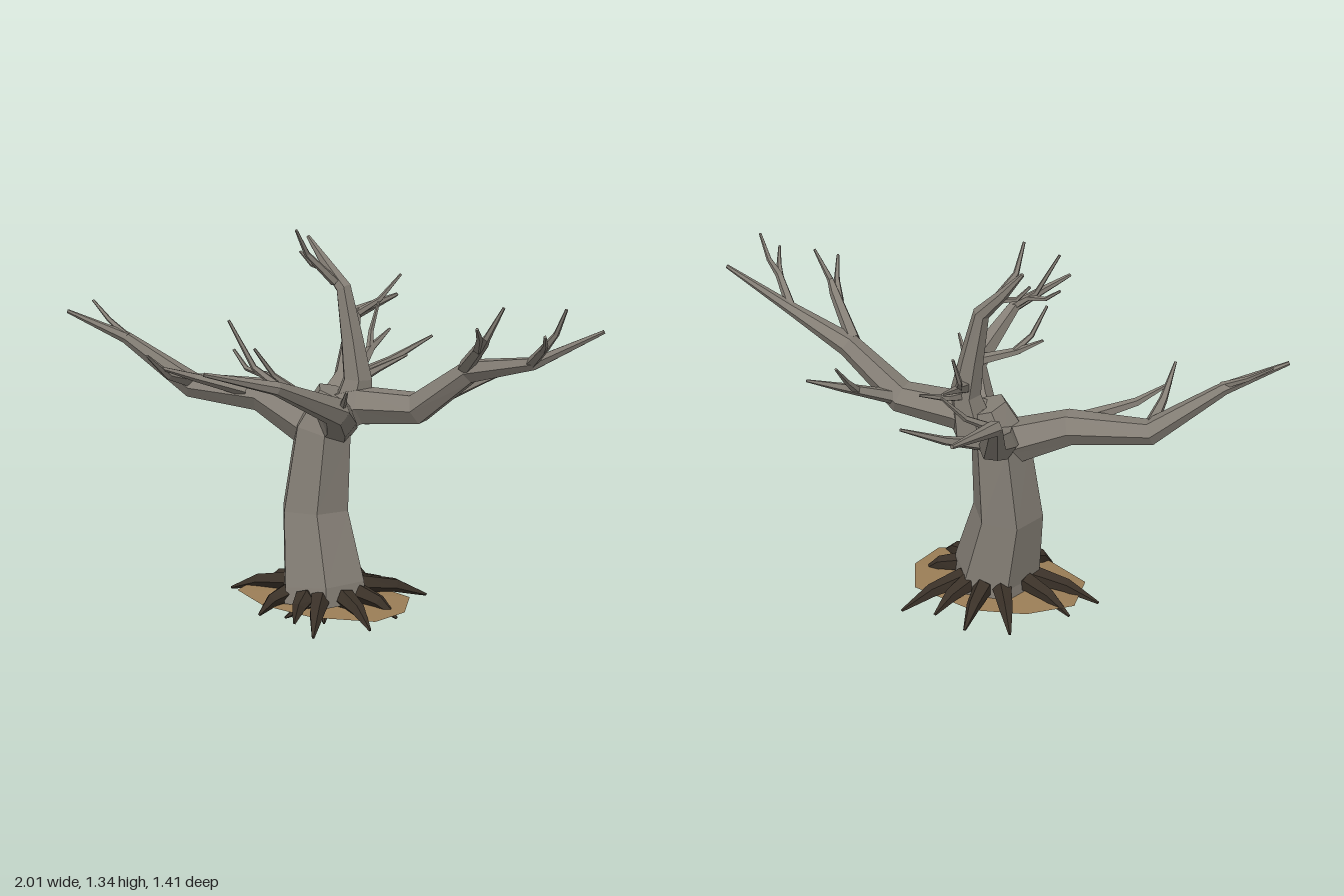
import * as THREE from 'three';
import { ConvexGeometry } from 'three/addons/geometries/ConvexGeometry.js';

// Faceted tapering tube through points [x, y, z, radius], closed at both ends
function limbGeometry(points, sides) {
  const centres = points.map(([x, y, z]) => new THREE.Vector3(x, y, z));
  const last = centres.length - 1;
  const pos = [], index = [];
  let normal, oldTangent;
  centres.forEach((c, i) => {
    const t = new THREE.Vector3();
    if (i > 0) t.add(c.clone().sub(centres[i - 1]).normalize());
    if (i < last) t.add(centres[i + 1].clone().sub(c).normalize());
    t.normalize();
    if (!normal) {
      normal = Math.abs(t.x) > 0.8 ? new THREE.Vector3(0, 0, 1) : new THREE.Vector3(1, 0, 0);
    } else {
      normal.applyQuaternion(new THREE.Quaternion().setFromUnitVectors(oldTangent, t));
    }
    normal.addScaledVector(t, -normal.dot(t)).normalize();
    oldTangent = t;
    const side = t.clone().cross(normal);
    for (let s = 0; s < sides; s++) {
      const a = (s / sides) * Math.PI * 2;
      const p = c.clone()
        .addScaledVector(normal, Math.cos(a) * points[i][3])
        .addScaledVector(side, Math.sin(a) * points[i][3]);
      pos.push(p.x, p.y, p.z);
    }
  });
  for (let i = 0; i < last; i++) {
    for (let s = 0; s < sides; s++) {
      const a = i * sides + s, b = i * sides + ((s + 1) % sides);
      index.push(a, b, b + sides, a, b + sides, a + sides);
    }
  }
  for (let s = 1; s < sides - 1; s++) {
    index.push(0, s + 1, s);
    index.push(last * sides, last * sides + s, last * sides + s + 1);
  }
  const g = new THREE.BufferGeometry();
  g.setAttribute('position', new THREE.Float32BufferAttribute(pos, 3));
  g.setIndex(index);
  const flat = g.toNonIndexed();
  flat.computeVertexNormals();
  return flat;
}

export function createModel() {
  const bark = new THREE.MeshStandardMaterial({ color: 0x857f76 });
  bark.name = 'grey bark';
  const rootBark = new THREE.MeshStandardMaterial({ color: 0x3a3128 });
  rootBark.name = 'dark root';
  const earth = new THREE.MeshStandardMaterial({ color: 0x9a7d56 });
  earth.name = 'earth';

  const tree = new THREE.Group();
  tree.name = 'bareTree';

  function add(parent, name, geometry, material) {
    const mesh = new THREE.Mesh(geometry, material);
    mesh.name = name;
    parent.add(mesh);
  }

  // A main limb with its twigs; twigs taper by themselves from a starting radius
  function branch(name, limb, twigs) {
    const group = new THREE.Group();
    group.name = name;
    add(group, name + 'Limb', limbGeometry(limb, 6), bark);
    twigs.forEach(([r, ...pts], n) => {
      const tapered = pts.map((p, i) => [...p, THREE.MathUtils.lerp(r, 0.005, i / (pts.length - 1))]);
      add(group, name + 'Twig' + (n + 1), limbGeometry(tapered, 5), bark);
    });
    tree.add(group);
  }

  // Trunk
  add(tree, 'trunk', limbGeometry([
    [-0.025, 0.04, 0.045, 0.165],
    [-0.028, 0.1, 0.042, 0.158],
    [-0.075, 0.35, 0.015, 0.128],
    [-0.05, 0.64, 0.0, 0.108],
    [-0.005, 0.77, -0.01, 0.07],
  ], 6), bark);

  branch('rightBranch', [
    [-0.03, 0.61, 0, 0.085], [-0.3, 0.73, -0.01, 0.062], [-0.57, 0.74, 0.015, 0.046],
    [-0.8, 0.905, 0.085, 0.022], [-1, 0.995, 0.155, 0.007],
  ], [
    [0.014, [-0.79, 0.91, 0.09], [-0.88, 0.96, 0.07], [-0.96, 1.02, 0.05]],
    [0.026, [-0.34, 0.75, 0.03], [-0.5, 0.795, 0.11], [-0.6, 0.84, 0.2]],
    [0.026, [-0.57, 0.76, 0.03], [-0.585, 0.8, 0.15], [-0.6, 0.89, 0.26]],
  ]);

  branch('leftBranch', [
    [-0.02, 0.69, -0.01, 0.08], [0.1, 0.735, -0.01, 0.068], [0.31, 0.75, 0.0, 0.058],
    [0.51, 0.905, 0.03, 0.042], [0.77, 0.975, 0.125, 0.022], [1, 1.1, 0.13, 0.007],
  ], [
    [0.026, [0.5, 0.92, 0.05], [0.61, 1.03, 0.17], [0.64, 1.06, 0.21], [0.7, 1.165, 0.22]],
    [0.017, [0.59, 1.01, 0.16], [0.62, 1.06, 0.22], [0.65, 1.11, 0.315]],
    [0.019, [0.76, 0.975, 0.125], [0.84, 1.05, 0.22], [0.88, 1.1, 0.23], [0.92, 1.185, 0.255]],
    [0.013, [0.83, 1.04, 0.21], [0.86, 1.07, 0.27], [0.88, 1.11, 0.33]],
    [0.028, [0.32, 0.755, -0.02], [0.47, 0.83, -0.14], [0.575, 0.875, -0.21]],
    [0.016, [0.43, 0.81, -0.11], [0.445, 0.87, -0.17], [0.45, 0.955, -0.25]],
  ]);

  branch('frontBranch', [
    [-0.02, 0.65, -0.03, 0.08], [0.06, 0.7, 0.1, 0.062], [0.13, 0.775, 0.26, 0.05],
    [0.05, 0.9, 0.52, 0.024], [-0.11, 0.965, 0.7, 0.007],
  ], [
    [0.016, [0.05, 0.905, 0.51], [-0.03, 0.96, 0.52], [-0.11, 1.11, 0.54]],
    [0.012, [0.0, 0.94, 0.515], [-0.07, 0.95, 0.5], [-0.13, 1.0, 0.475]],
    [0.023, [0.12, 0.79, 0.26], [-0.03, 0.84, 0.28], [-0.12, 0.89, 0.29]],
    [0.014, [-0.02, 0.84, 0.28], [-0.07, 0.89, 0.32], [-0.11, 0.985, 0.375]],
    [0.018, [0.13, 0.77, 0.22], [0.16, 0.8, 0.27], [0.2, 0.86, 0.32]],
  ]);

  branch('backBranch', [
    [-0.05, 0.64, 0, 0.075], [-0.09, 0.69, -0.13, 0.054], [-0.1, 0.755, -0.27, 0.046],
    [-0.17, 0.95, -0.48, 0.027], [-0.1, 0.99, -0.7, 0.007],
  ], [
    [0.026, [-0.09, 0.75, -0.24], [0.03, 0.815, -0.37], [0.145, 0.895, -0.48]],
    [0.016, [-0.165, 0.945, -0.47], [-0.09, 1.0, -0.53], [-0.03, 1.09, -0.585]],
  ]);

  branch('topBranch', [
    [0.04, 0.68, -0.02, 0.08], [0.065, 0.82, -0.035, 0.055], [0.04, 0.96, -0.04, 0.042],
    [0.005, 1.13, -0.045, 0.029], [-0.07, 1.21, -0.055, 0.02], [-0.14, 1.295, -0.06, 0.007],
  ], [
    [0.017, [-0.02, 1.15, -0.03], [-0.09, 1.25, 0.04], [-0.1, 1.34, 0.1]],
    [0.012, [-0.07, 1.19, -0.05], [-0.12, 1.2, -0.05], [-0.16, 1.245, -0.04]],
    [0.026, [0.06, 0.85, -0.05], [0.05, 0.9, -0.17], [0.06, 0.945, -0.3]],
    [0.014, [0.05, 0.9, -0.16], [0.03, 0.95, -0.21], [0.04, 1.05, -0.25]],
    [0.02, [0.07, 0.82, -0.06], [0.1, 0.84, -0.13], [0.17, 0.88, -0.21]],
  ]);

  // Roots spreading from under the trunk, arching over the earth to the ground
  const rootTips = [
    [-0.41, 0.03], [-0.18, 0.24], [-0.03, 0.26], [0.09, 0.35], [0.23, 0.2],
    [0.26, 0.05], [0.25, -0.22], [0.13, -0.21], [0.0, -0.27], [-0.16, -0.25], [-0.33, -0.08],
  ];
  const roots = new THREE.Group();
  roots.name = 'roots';
  const foot = [-0.025, 0.045];
  rootTips.forEach(([x, z], n) => {
    const dx = x - foot[0], dz = z - foot[1], len = Math.hypot(dx, dz);
    const at = (d, y, r) => [foot[0] + dx / len * d, y, foot[1] + dz / len * d, r];
    add(roots, 'root' + (n + 1), limbGeometry([
      at(0.0, 0.03, 0.02), at(0.08, 0.045, 0.034), at(0.145, 0.075, 0.036),
      at(0.145 + (len - 0.145) * 0.5, 0.055, 0.026), at(len, 0.006, 0.005),
    ], 5), rootBark);
  });
  // Short rootlets between them, below the trunk
  for (let n = 0; n < 8; n++) {
    const a = (n + 0.4) / 8 * Math.PI * 2, c = Math.cos(a), s = Math.sin(a);
    add(roots, 'rootlet' + (n + 1), limbGeometry([
      [foot[0], 0.03, foot[1], 0.02],
      [foot[0] + c * 0.1, 0.028, foot[1] + s * 0.1, 0.024],
      [foot[0] + c * 0.19, 0.008, foot[1] + s * 0.19, 0.004],
    ], 5), rootBark);
  }
  tree.add(roots);

  // Low mound of earth
  const rim = [
    [-0.34, -0.05], [-0.19, -0.15], [0, -0.18], [0.24, -0.1], [0.29, 0.05],
    [0.24, 0.18], [0.03, 0.24], [-0.18, 0.21], [-0.34, 0.11],
  ].map(([x, z]) => new THREE.Vector3(x, 0.032, z));
  rim.push(new THREE.Vector3(-0.03, 0.05, 0.03), new THREE.Vector3(-0.03, 0.026, 0.03));
  add(tree, 'earthMound', new ConvexGeometry(rim), earth);

  return tree;
}
